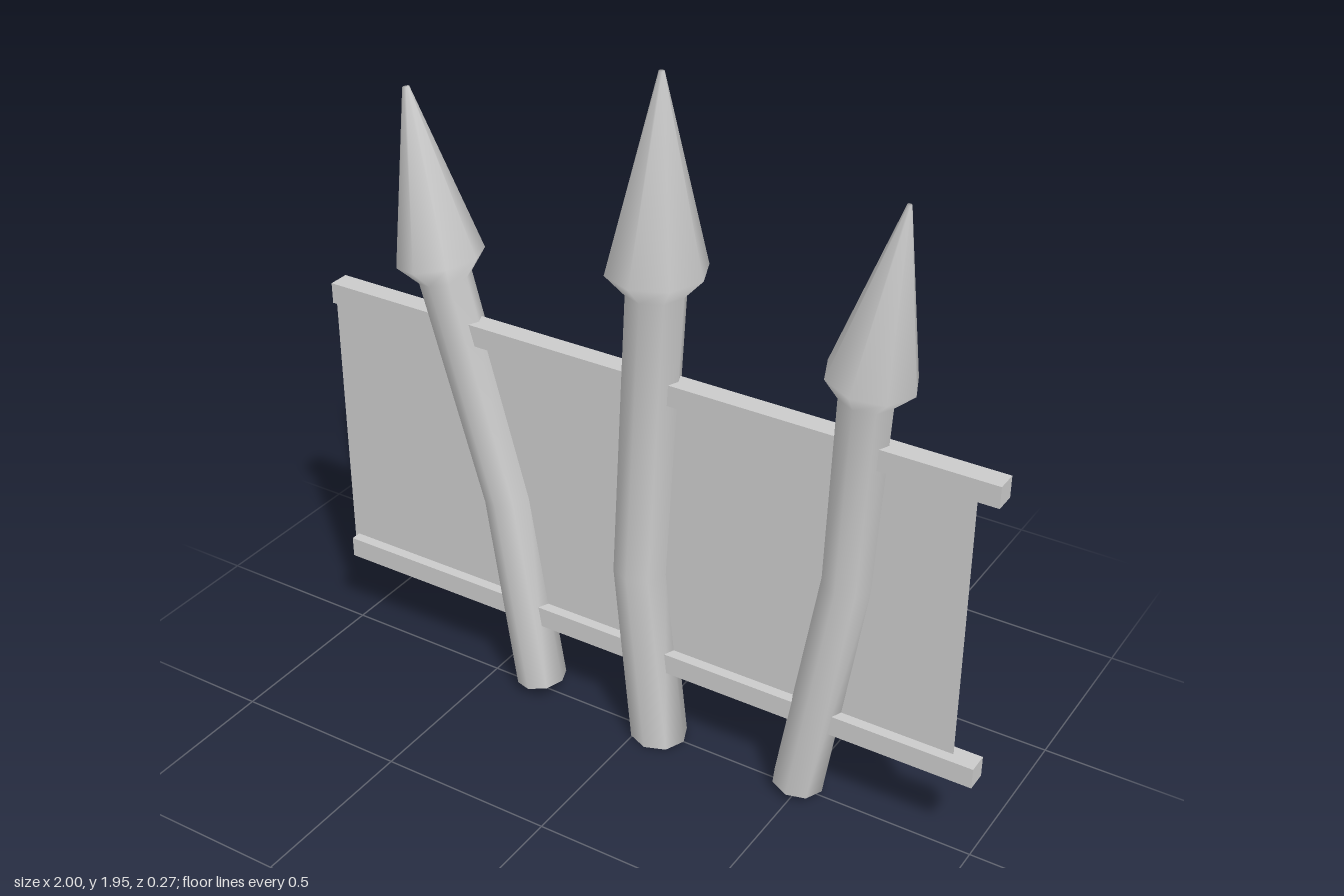
import * as THREE from 'three';

const SIDES = 8;

// Each ring is [x1, y1, x2, y2]: the ends of its diameter in the z = 0 plane.
function createStake(name, rings, material) {
  const positions = [], indices = [];
  for (const [x1, y1, x2, y2] of rings) {
    const cx = (x1 + x2) / 2, cy = (y1 + y2) / 2;
    const hx = (x2 - x1) / 2, hy = (y2 - y1) / 2;
    const r = Math.hypot(hx, hy);
    for (let i = 0; i < SIDES; i++) {
      const a = (i / SIDES) * Math.PI * 2;
      positions.push(cx + hx * Math.cos(a), cy + hy * Math.cos(a), r * Math.sin(a));
    }
  }
  // Side walls
  for (let k = 0; k < rings.length - 1; k++) {
    for (let i = 0; i < SIDES; i++) {
      const a = k * SIDES + i, b = k * SIDES + (i + 1) % SIDES;
      indices.push(a, a + SIDES, b, b, a + SIDES, b + SIDES);
    }
  }
  // Bottom and tip caps
  const last = (rings.length - 1) * SIDES;
  for (let i = 1; i < SIDES - 1; i++) {
    indices.push(0, i, i + 1, last, last + i + 1, last + i);
  }
  const geometry = new THREE.BufferGeometry();
  geometry.setAttribute('position', new THREE.Float32BufferAttribute(positions, 3));
  geometry.setIndex(indices);
  geometry.computeVertexNormals();
  const mesh = new THREE.Mesh(geometry, material);
  mesh.name = name;
  return mesh;
}

export function createModel() {
  const group = new THREE.Group();
  group.name = 'spikedFence';
  const material = new THREE.MeshStandardMaterial({ color: 0xcccccc });

  // Bent stakes: foot, bend, neck, flare of the spearhead, tip
  const stakes = {
    rightStake: [
      [-0.41, 0.025, -0.27, 0.05], [-0.5, 0.605, -0.367, 0.63],
      [-0.685, 1.225, -0.545, 1.258], [-0.745, 1.27, -0.51, 1.32], [-0.72, 1.753, -0.702, 1.757],
    ],
    middleStake: [
      [-0.025, 0.005, 0.135, 0.002], [-0.08, 0.54, 0.073, 0.54],
      [-0.04, 1.37, 0.12, 1.375], [-0.092, 1.43, 0.175, 1.435], [0.045, 1.95, 0.06, 1.95],
    ],
    leftStake: [
      [0.423, 0.035, 0.567, 0.018], [0.537, 0.718, 0.672, 0.705],
      [0.555, 1.258, 0.7, 1.24], [0.52, 1.32, 0.755, 1.288], [0.698, 1.767, 0.71, 1.765],
    ],
  };
  for (const [name, rings] of Object.entries(stakes)) {
    group.add(createStake(name, rings, material));
  }

  // Horizontal rails
  for (const [name, y] of [['lowerRail', 0.272], ['upperRail', 1.107]]) {
    const rail = new THREE.Mesh(new THREE.BoxGeometry(1.985, 0.06, 0.06), material);
    rail.position.set(0.005, y, 0);
    rail.name = name;
    group.add(rail);
  }

  // Thin sheet between the rails
  const panel = new THREE.Mesh(
    new THREE.PlaneGeometry(1.93, 0.8),
    new THREE.MeshStandardMaterial({ color: 0xcccccc, side: THREE.DoubleSide })
  );
  panel.position.set(-0.035, 0.69, 0);
  panel.name = 'panel';
  group.add(panel);

  return group;
}
